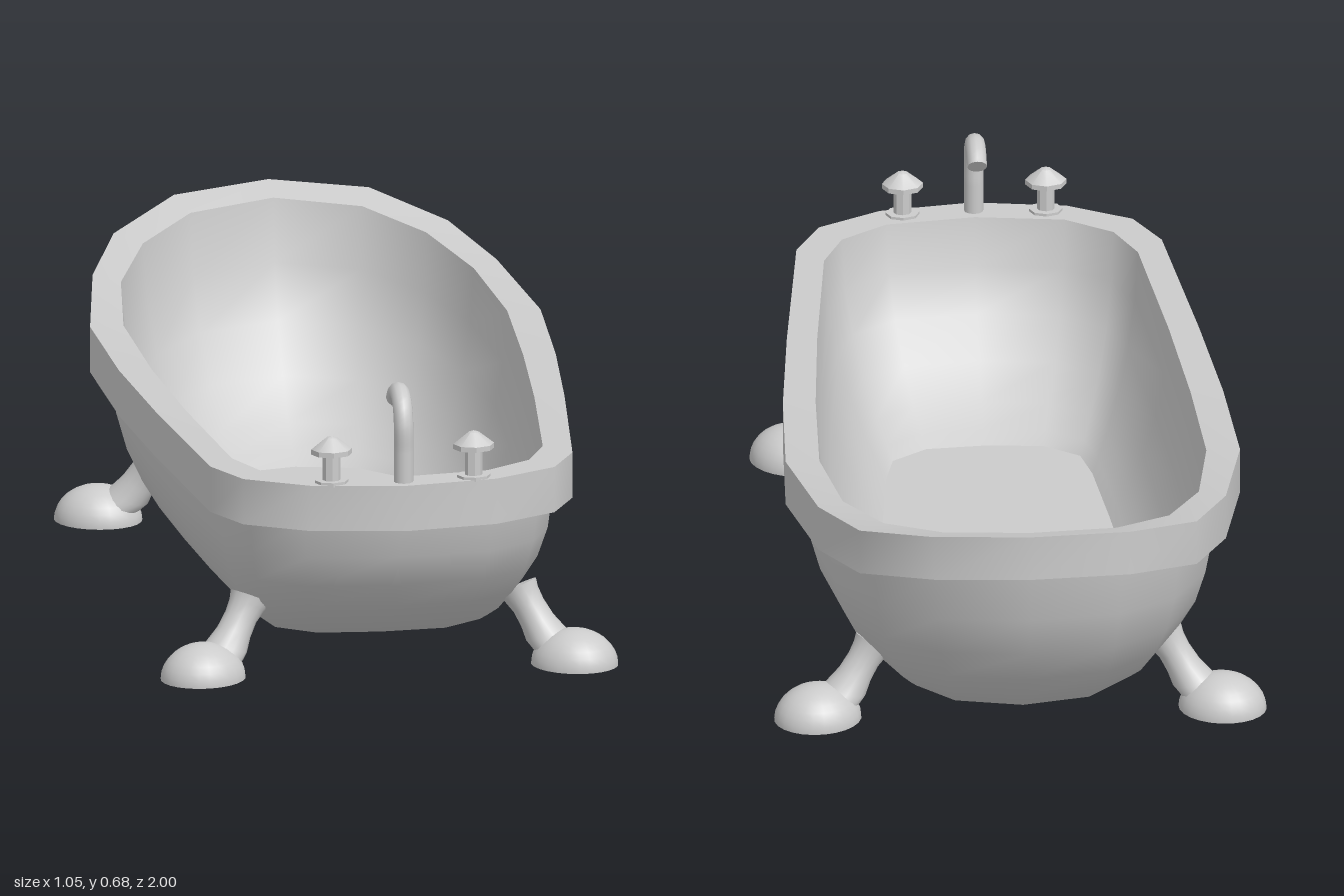
import * as THREE from 'three';
import { toCreasedNormals } from 'three/addons/utils/BufferGeometryUtils.js';

const material = new THREE.MeshStandardMaterial({ color: 0xcccccc, side: THREE.DoubleSide });

// Half outlines [x, z] running from the back round the left side to the front
const rimOuter = [[0, -1], [.21, -.955], [.36, -.82], [.435, -.62], [.485, -.32], [.47, 0],
  [.44, .33], [.39, .78], [.335, .89], [.2, .965], [0, .995]];
const rimInner = [[0, -.93], [.185, -.885], [.305, -.765], [.38, -.58], [.413, -.32], [.4, 0],
  [.375, .33], [.335, .72], [.29, .825], [.19, .895], [0, .92]];
const floorLine = [[0, -.61], [.13, -.58], [.2, -.505], [.245, -.37], [.275, -.2], [.26, 0],
  [.243, .22], [.22, .45], [.2, .54], [.125, .595], [0, .605]];
const scaled = (line, sx, sz) => line.map(([x, z]) => [x * sx, z * sz]);
const bodyTop = scaled(rimInner, 1.065, .995);
const bodyBottom = scaled(floorLine, 1.1, 1.07);

// Rounded wall section: [height fraction, outward fraction]
const wall = [[0, 0], [.05, .12], [.14, .32], [.3, .56], [.5, .78], [.73, .93], [1, 1]];

// The rim sweeps up towards the back
const rimCurve = [[-1, .615], [-.82, .558], [-.5, .502], [-.2, .484], [.17, .477], [1, .475]];
function rimY(z) {
  for (let i = 1; i < rimCurve.length; i++) {
    const [z0, y0] = rimCurve[i - 1], [z1, y1] = rimCurve[i];
    if (z <= z1) return y0 + (y1 - y0) * (z - z0) / (z1 - z0);
  }
  return .475;
}

// Closed ring from a half outline, with height given by a rule
function ring(line, yOf) {
  const half = line.map(([x, z], i) => [x, yOf(z, i), z]);
  const mirrored = half.slice(1, -1).reverse().map(([x, y, z]) => [-x, y, z]);
  return [...half, ...mirrored];
}

// Skin between successive closed rings
function loft(rings, crease) {
  const n = rings[0].length, index = [];
  for (let i = 0; i < rings.length - 1; i++) {
    for (let j = 0; j < n; j++) {
      const a = i * n + j, c = i * n + (j + 1) % n, b = a + n, d = c + n;
      index.push(a, b, c, c, b, d);
    }
  }
  const geo = new THREE.BufferGeometry();
  geo.setAttribute('position', new THREE.Float32BufferAttribute(rings.flat(2), 3));
  geo.setIndex(index);
  return toCreasedNormals(geo, crease);
}

function add(parent, name, geometry) {
  const mesh = new THREE.Mesh(geometry, material);
  mesh.name = name;
  parent.add(mesh);
  return mesh;
}

// Curved wall rings between a low and a high outline
function wallRings(low, high, yLow, drop) {
  return wall.map(([f, t]) => {
    const line = low.map(([x, z], i) => [x + (high[i][0] - x) * t, z + (high[i][1] - z) * t]);
    return ring(line, (z, i) => yLow + (rimY(high[i][1]) - drop - yLow) * f);
  });
}

// Foot with its leg leaning along local +x
function makeFoot() {
  const foot = new THREE.Group();
  const dome = add(foot, 'footDome',
    new THREE.SphereGeometry(1, 24, 8, 0, Math.PI * 2, 0, Math.PI / 2));
  dome.scale.set(.095, .077, .086);
  // Leg rings: [inward, height, radius, tilt]
  const steps = [[.035, .03, .055, .1], [.065, .055, .046, .3], [.088, .085, .037, .45],
    [.108, .115, .035, .5], [.125, .138, .039, .5], [.138, .155, .046, .45], [.138, .155, 0, .45]];
  const rings = steps.map(([d, y, r, tilt]) => Array.from({ length: 16 }, (_, k) => {
    const a = k / 16 * Math.PI * 2, u = r * Math.cos(a);
    return [d + u * Math.cos(tilt), y - u * Math.sin(tilt), r * Math.sin(a)];
  }));
  add(foot, 'leg', loft(rings, .9));
  return foot;
}

export function createModel() {
  const tub = new THREE.Group();
  tub.name = 'bathtub';

  // Shell
  add(tub, 'outerBody', loft(wallRings(bodyBottom, bodyTop, .06, .1), .9));
  add(tub, 'innerWall', loft(wallRings(floorLine, rimInner, .085, 0).reverse(), .9));
  add(tub, 'rim', loft([
    ring(bodyTop, z => rimY(z) - .1),
    ring(rimOuter, z => rimY(z) - .1),
    ring(rimOuter, rimY),
    ring(rimInner, rimY),
  ], .7));

  // Floor, and the narrow ledge round its recessed underside
  add(tub, 'floor', loft([ring(floorLine, () => .085), ring(scaled(floorLine, 0, 1), () => .085)], .7));
  add(tub, 'bottomLedge', loft([
    ring(floorLine, () => .085),
    ring(floorLine, () => .06),
    ring(bodyBottom, () => .06),
  ], .7));

  // Feet, paired left and right
  for (const side of [1, -1]) {
    for (const [name, x, z, dz] of [['frontFoot', .4, .745, -.08], ['backFoot', .432, -.56, .05]]) {
      const foot = makeFoot();
      foot.name = name;
      foot.position.set(side * x, 0, z);
      foot.rotation.y = Math.atan2(-dz, -side * .12);
      tub.add(foot);
    }
  }

  // Spout
  const path = new THREE.CatmullRomCurve3([[.47, .957], [.54, .957], [.6, .957], [.637, .94],
    [.654, .905], [.648, .868], [.63, .842]].map(([y, z]) => new THREE.Vector3(0, y, z)));
  add(tub, 'spout', new THREE.TubeGeometry(path, 28, .021, 12));
  const tip = add(tub, 'spoutTip', new THREE.CircleGeometry(.021, 12));
  tip.position.copy(path.getPoint(1));
  tip.lookAt(tip.position.clone().add(path.getTangent(1)));

  // Taps
  const tapProfile = [[0, .472], [.036, .472], [.036, .481], [.019, .481], [.019, .538], [.044, .538],
    [.044, .549], [.012, .574], [0, .578]].map(([r, y]) => new THREE.Vector2(r, y));
  for (const side of [1, -1]) {
    const tap = add(tub, 'tap', toCreasedNormals(new THREE.LatheGeometry(tapProfile, 8), .5));
    tap.position.set(side * .153, 0, .943);
    tap.scale.z = .85;
  }
  return tub;
}
